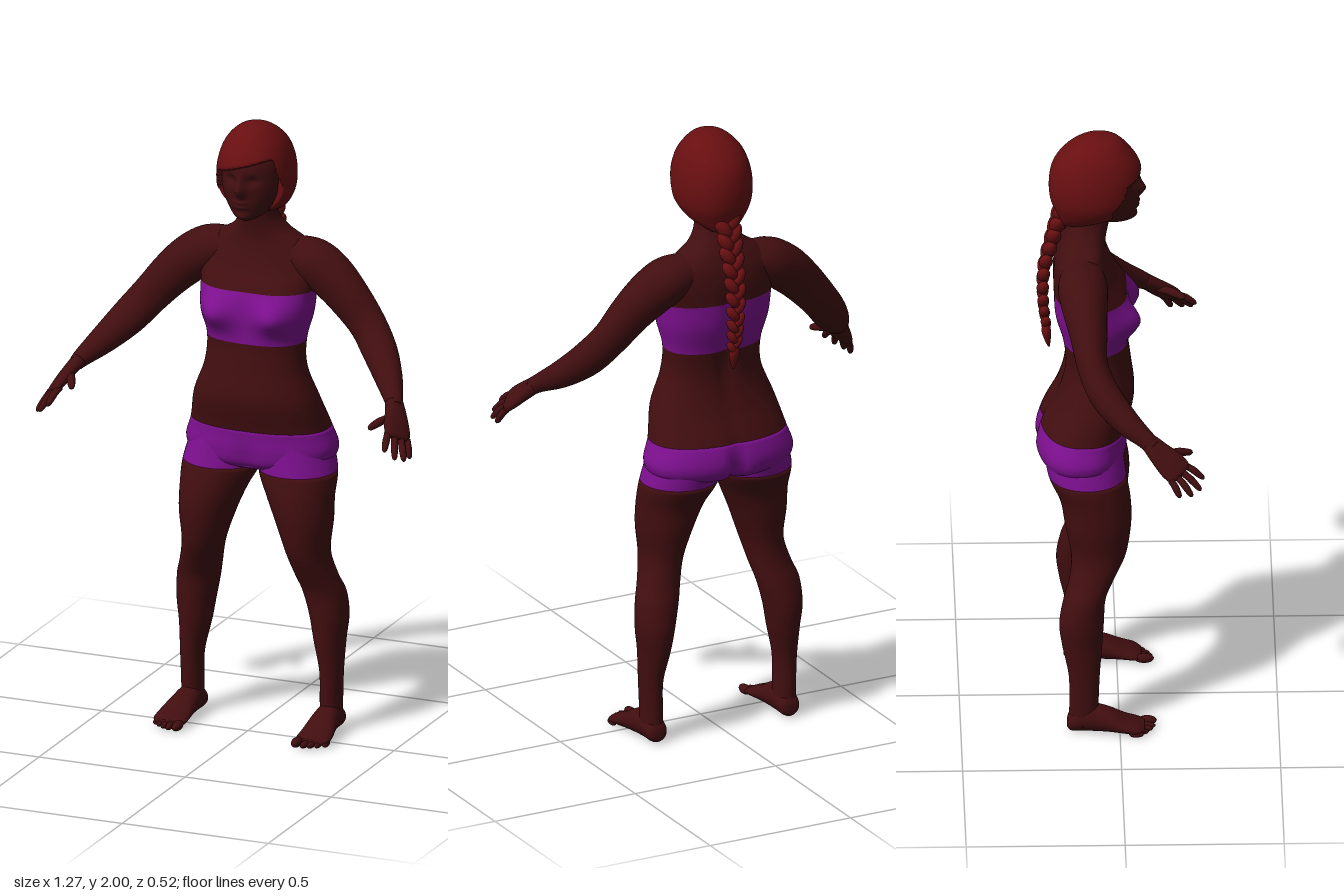
import * as THREE from 'three';

const mat = (name, color) => {
  const m = new THREE.MeshStandardMaterial({ color });
  m.name = name;
  return m;
};
const V = (a) => new THREE.Vector3(...a);
const bump = (d, w) => Math.exp(-(d * d) / (w * w));
const { smoothstep, lerp } = THREE.MathUtils;

// Smooth interpolation through sections [x, y, z, radiusA, radiusB]
function sample(s, t) {
  const i = Math.min(Math.floor(t), s.length - 2), f = t - i;
  const p = [s[Math.max(i - 1, 0)], s[i], s[i + 1], s[Math.min(i + 2, s.length - 1)]];
  return s[0].map((_, k) => {
    const [a, b, c, d] = p.map((q) => q[k]);
    return b + 0.5 * f * (c - a + f * (2 * a - 5 * b + 4 * c - d + f * (3 * (b - c) + d - a)));
  });
}

// Skin of elliptical rings along the sections; "across" is the direction of radiusA
function loft(s, { across, along, from = 0, to = s.length - 1, steps = 6, segs = 24, square = 2, caps = true, deform }) {
  const pos = [], idx = [], n = Math.round((to - from) * steps);
  const pw = (v) => Math.sign(v) * Math.abs(v) ** (2 / square);
  for (let i = 0; i <= n; i++) {
    const t = from + ((to - from) * i) / n;
    const [x, y, z, ra, rb] = sample(s, t);
    const T = along ? V(along) : V(sample(s, Math.min(t + 0.05, s.length - 1)))
      .sub(V(sample(s, Math.max(t - 0.05, 0)))).normalize();
    const U = V(across).addScaledVector(T, -V(across).dot(T)).normalize();
    const W = T.clone().cross(U);
    for (let j = 0; j < segs; j++) {
      const a = (j / segs) * Math.PI * 2;
      const p = new THREE.Vector3(x, y, z)
        .addScaledVector(U, Math.max(ra, 0.002) * pw(Math.cos(a)))
        .addScaledVector(W, Math.max(rb, 0.002) * pw(Math.sin(a)));
      if (deform) deform(p);
      pos.push(p.x, p.y, p.z);
      if (i < n) {
        const k = i * segs, j2 = (j + 1) % segs;
        idx.push(k + j, k + j2, k + segs + j, k + j2, k + segs + j2, k + segs + j);
      }
    }
  }
  if (caps) {
    const c = pos.length / 3;
    pos.push(...sample(s, from).slice(0, 3), ...sample(s, to).slice(0, 3));
    for (let j = 0; j < segs; j++) {
      const j2 = (j + 1) % segs, k = n * segs;
      idx.push(c, j2, j, c + 1, k + j, k + j2);
    }
  }
  const g = new THREE.BufferGeometry();
  g.setAttribute('position', new THREE.Float32BufferAttribute(pos, 3));
  g.setIndex(idx);
  g.computeVertexNormals();
  return g;
}

export function createModel() {
  const skin = mat('skin', 0x420e10);
  const hair = mat('hair', 0x680f11);
  const cloth = mat('purple cloth', 0x7e1090);
  const model = new THREE.Group();
  model.name = 'woman';
  const add = (parent, name, geo, m) => {
    const mesh = new THREE.Mesh(geo, m);
    mesh.name = name;
    parent.add(mesh);
    return mesh;
  };
  const ball = (parent, name, m, p, scale, rotZ = 0, rotX = 0) => {
    const b = add(parent, name, new THREE.SphereGeometry(1, 16, 12), m);
    b.position.set(...p);
    b.scale.set(...scale);
    b.rotation.set(rotX, 0, rotZ);
  };
  const down = [0, -1, 0], right = [1, 0, 0];

  // Torso in bands: neck and shoulders, bandeau, belly, shorts
  const torso = [
    [0, 1.75, -0.075, 0.057, 0.06], [0, 1.69, -0.09, 0.062, 0.06], [0, 1.645, -0.105, 0.092, 0.066],
    [0, 1.61, -0.113, 0.145, 0.073], [0, 1.57, -0.115, 0.182, 0.085], [0, 1.52, -0.108, 0.195, 0.098],
    [0, 1.46, -0.09, 0.19, 0.115], [0, 1.38, -0.083, 0.182, 0.117], [0, 1.29, -0.073, 0.162, 0.103],
    [0, 1.2, -0.065, 0.167, 0.105], [0, 1.1, -0.073, 0.205, 0.123], [0, 1.0, -0.108, 0.23, 0.137],
    [0, 0.93, -0.117, 0.25, 0.144], [0, 0.885, -0.112, 0.22, 0.128], [0, 0.862, -0.1, 0.12, 0.08],
  ];
  const bodyShape = (p) => {
    const ax = Math.abs(p.x);
    if (p.z > -0.05) p.z += 0.048 * bump(ax - 0.105, 0.062) * bump(p.y - 1.385, 0.055);
    if (p.z < -0.12) {
      p.z += 0.035 * bump(p.x, 0.022) * bump(p.y - 0.9, 0.08);
      p.z += 0.014 * bump(p.x, 0.025) * bump(p.y - 1.3, 0.2);
    }
    if (p.z > 0) p.z -= 0.012 * bump(p.x, 0.03) * bump(p.y - 0.9, 0.06);
  };
  [['neckAndShoulders', skin, 0, 6], ['bandeauTop', cloth, 6, 8], ['belly', skin, 8, 11], ['shorts', cloth, 11, 14]]
    .forEach(([name, m, from, to]) => add(model, name, loft(torso, {
      across: right, along: down, from, to, segs: 72, steps: 8, square: 2.3, caps: to === 14, deform: bodyShape,
    }), m));

  // Head with nose, brow, eye sockets and lips shaped into it
  const head = [
    [0, 1.94, -0.05, 0.06, 0.07], [0, 1.89, -0.04, 0.09, 0.098], [0, 1.83, -0.04, 0.097, 0.103],
    [0, 1.78, -0.037, 0.09, 0.098], [0, 1.74, -0.033, 0.07, 0.09], [0, 1.712, -0.023, 0.045, 0.072],
    [0, 1.698, -0.02, 0.02, 0.045],
  ];
  add(model, 'head', loft(head, {
    across: right, along: down, segs: 96, steps: 10,
    deform: (p) => {
      if (p.z < 0) return;
      const ax = Math.abs(p.x), y = p.y;
      p.z += 0.022 * bump(p.x, 0.016) * bump(y - 0.006 - 1.8, 0.022)
        + 0.009 * bump(p.x, 0.012) * bump(y - 1.835, 0.025)
        + 0.008 * bump(p.x, 0.025) * (bump(y - 1.767, 0.007) + bump(y - 1.752, 0.007))
        + 0.007 * bump(p.x, 0.025) * bump(y - 1.718, 0.014)
        - 0.012 * bump(ax - 0.037, 0.02) * bump(y - 1.84, 0.014);
    },
  }), skin);

  // Hair cap with a side-swept fringe cut back around the face
  const cap = [
    [0, 2.0, -0.06, 0.008, 0.008], [0, 1.988, -0.06, 0.05, 0.057], [0, 1.95, -0.067, 0.09, 0.103],
    [0, 1.9, -0.069, 0.112, 0.137], [0, 1.84, -0.071, 0.122, 0.147], [0, 1.78, -0.075, 0.117, 0.139],
    [0, 1.73, -0.095, 0.09, 0.1], [0, 1.695, -0.135, 0.045, 0.05],
  ];
  add(model, 'hairCap', loft(cap, {
    across: right, along: down, segs: 96, steps: 10, square: 2.1,
    deform: (p) => {
      const line = 1.885 + 0.3 * p.x - 4 * Math.max(0, Math.abs(p.x) - 0.088);
      if (p.z > -0.02) p.z = lerp(p.z, -0.02, smoothstep(line - p.y, 0, 0.014));
    },
  }), hair);

  // Braid of paired slanted strands down the back
  const braid = new THREE.Group();
  braid.name = 'braid';
  model.add(braid);
  const path = new THREE.CatmullRomCurve3(
    [[0, 1.73, -0.18], [0, 1.63, -0.208], [0, 1.52, -0.234], [0, 1.41, -0.236], [0, 1.32, -0.226]].map(V));
  const count = 20;
  for (let i = 0; i < count; i++) {
    const t = i / (count - 1), p = path.getPoint(t), side = i % 2 ? 1 : -1, r = lerp(0.027, 0.015, t);
    ball(braid, 'strand', hair, [side * r * 0.62, p.y, p.z], [r * 0.85, r * 1.5, r], -side * 0.6, 0.2);
  }
  add(braid, 'braidEnd', loft([[0, 1.325, -0.227, 0.011, 0.011], [0, 1.3, -0.226, 0.019, 0.015],
    [0, 1.27, -0.222, 0.012, 0.01], [0, 1.245, -0.218, 0.003, 0.003]], { across: right, along: down }), hair);

  // Limbs, listed for the left side and mirrored for the right
  const arm = [
    [0.09, 1.57, -0.115, 0.06, 0.05], [0.17, 1.547, -0.115, 0.078, 0.073], [0.235, 1.508, -0.11, 0.072, 0.076],
    [0.3, 1.45, -0.1, 0.06, 0.07], [0.37, 1.372, -0.088, 0.049, 0.062], [0.43, 1.3, -0.05, 0.05, 0.058],
    [0.485, 1.24, 0.01, 0.043, 0.046], [0.53, 1.195, 0.075, 0.03, 0.031], [0.546, 1.176, 0.1, 0.029, 0.024],
  ];
  const palm = [
    [0.538, 1.187, 0.088, 0.029, 0.024], [0.555, 1.163, 0.115, 0.037, 0.021], [0.575, 1.13, 0.153, 0.047, 0.018],
    [0.588, 1.107, 0.178, 0.045, 0.014], [0.592, 1.1, 0.186, 0.034, 0.008],
  ];
  const fingers = [
    ['indexFinger', [0.562, 1.122, 0.192], [0.577, 1.078, 0.257]],
    ['middleFinger', [0.581, 1.108, 0.185], [0.608, 1.053, 0.247]],
    ['ringFinger', [0.597, 1.097, 0.172], [0.628, 1.042, 0.219]],
    ['littleFinger', [0.61, 1.091, 0.153], [0.631, 1.04, 0.181]],
    ['thumb', [0.548, 1.152, 0.135], [0.508, 1.135, 0.222]],
  ];
  const leg = [
    [0.115, 0.96, -0.115, 0.112, 0.125], [0.129, 0.86, -0.1, 0.126, 0.123], [0.148, 0.78, -0.075, 0.108, 0.111],
    [0.165, 0.7, -0.067, 0.09, 0.104], [0.178, 0.6, -0.066, 0.068, 0.086], [0.197, 0.52, -0.088, 0.068, 0.07],
    [0.215, 0.46, -0.11, 0.07, 0.066], [0.227, 0.38, -0.12, 0.062, 0.07], [0.23, 0.3, -0.118, 0.05, 0.063],
    [0.238, 0.2, -0.112, 0.037, 0.049], [0.237, 0.1, -0.113, 0.035, 0.046], [0.237, 0.03, -0.115, 0.035, 0.045],
  ];
  const foot = [
    [0.236, 0.03, -0.166, 0.014, 0.014], [0.236, 0.037, -0.152, 0.034, 0.034], [0.237, 0.049, -0.1, 0.039, 0.047],
    [0.24, 0.042, -0.04, 0.046, 0.04], [0.244, 0.028, 0.015, 0.054, 0.026], [0.244, 0.02, 0.055, 0.055, 0.018],
    [0.238, 0.016, 0.078, 0.04, 0.011],
  ];
  for (const [side, m] of [['left', 1], ['right', -1]]) {
    const flip = (s) => s.map(([x, ...rest]) => [x * m, ...rest]);
    const armGroup = new THREE.Group(), legGroup = new THREE.Group();
    armGroup.name = side + 'Arm';
    legGroup.name = side + 'Leg';
    model.add(armGroup, legGroup);

    add(armGroup, 'arm', loft(flip(arm), { across: [0, 0, 1], segs: 32 }), skin);
    const spread = [-0.5 * m, 0.3, 0.8];
    add(armGroup, 'palm', loft(flip(palm), { across: spread, square: 2.4 }), skin);
    for (const [name, a, b] of fingers) {
      const r = name === 'thumb' ? 0.0135 : 0.0115;
      const s = [[0, 1], [0.35, 0.95], [0.55, 1], [0.9, 0.75], [1, 0.2]].map(([t, k]) => {
        const p = V(a).lerp(V(b), t);
        return [p.x, p.y + 0.02 * t * (1 - t), p.z, r * k, r * k];
      });
      add(armGroup, name, loft(flip(s), { across: spread, segs: 12, steps: 4 }), skin);
    }

    const legOpts = { across: right, along: down, segs: 40 };
    add(legGroup, 'shortsLeg', loft(flip(leg), { ...legOpts, to: 1, caps: false }), cloth);
    add(legGroup, 'leg', loft(flip(leg), { ...legOpts, from: 1 }), skin);
    add(legGroup, 'foot', loft(flip(foot), {
      across: right, along: [0, 0, 1], segs: 32, deform: (p) => { p.y = Math.max(p.y, 0); },
    }), skin);
    for (let i = 0; i < 5; i++) {
      const r = i ? 0.0115 - i * 0.0004 : 0.0155;
      const x = i ? 0.211 + i * 0.0195 : 0.204;
      ball(legGroup, 'toe', skin, [x * m, r, 0.086 - i * i * 0.0022], [r, r, 0.031 - i * 0.002]);
    }
  }
  return model;
}
